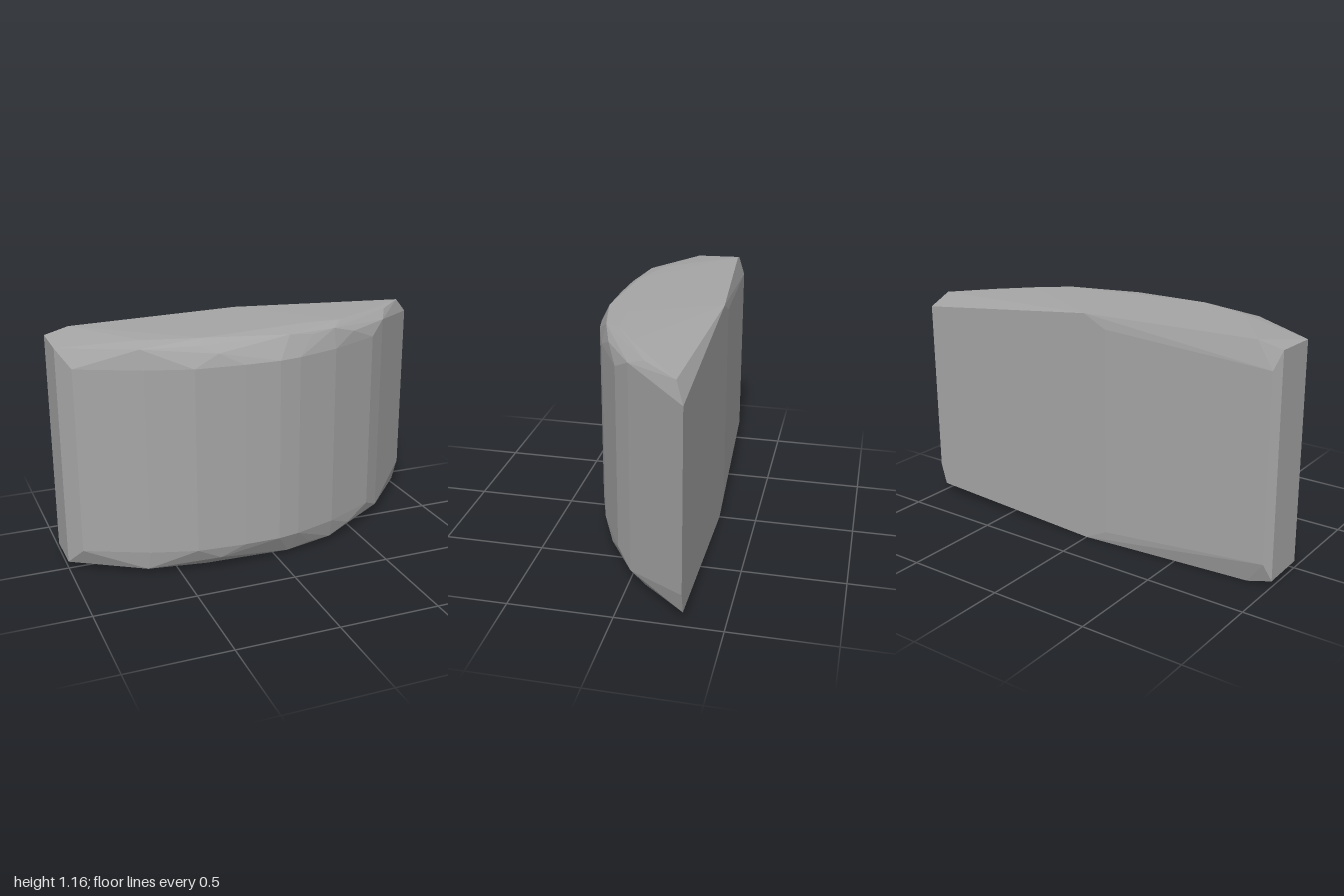
import * as THREE from 'three';
import { ConvexGeometry } from 'three/addons/geometries/ConvexGeometry.js';

// Chipped stone block: a half-moon slab built as the hull of its wall, bevel and cap corners.
export function createModel() {
  const group = new THREE.Group();
  group.name = 'stoneBlock';
  const stone = new THREE.MeshStandardMaterial({ color: 0xa6a6a6, flatShading: true });
  stone.name = 'stoneGrey';

  const H = 1.16;
  const points = [];
  const add = (x, y, z) => points.push(new THREE.Vector3(x, y, z));

  // Curved front wall, running from the -x end round to the +x tip
  const wall = [[-0.94, 0.08], [-0.64, 0.22], [-0.42, 0.287], [-0.18, 0.305],
    [0, 0.305], [0.11, 0.285], [0.33, 0.215], [0.6, 0.08]];
  wall.forEach(([x, z]) => { add(x, 1.04, z); add(x, 0.12, z); });
  add(0.7, 1.1, -0.005);
  add(0.7, 0.06, -0.005);

  // Chipped bevel and cap corners, repeated at top and bottom: [x, z, depth below the cap]
  const bevel = [[-0.65, 0.2, 0.025], [-0.38, 0.24, 0.025], [0.07, 0.245, 0.015],
    [0.2, 0.225, 0.03], [0.33, 0.19, 0.022], [0.75, -0.09, 0.025],
    [-0.3, 0.28, 0.06], [0.46, 0.145, 0.06],
    [-0.62, 0.12, 0.004], [-0.35, 0.2, 0], [0.2, 0.12, 0], [0.4, 0.11, 0.004], [0.56, 0.01, 0.01]];
  bevel.forEach(([x, z, d]) => { add(x, H - d, z); add(x, d, z); });

  // Flat -x end and the bent back wall
  [[-1, 0, 0.035], [-1, -0.23, 0.03], [-0.97, -0.265, 0.12],
    [-0.88, -0.24, 0], [-0.12, -0.31, 0.06], [0, -0.31, 0]]
    .forEach(([x, z, d]) => { add(x, H - d, z); add(x, d, z); });

  // Sharp +x tip, chipped differently above and below
  add(0.92, 1.13, -0.265);
  add(1, 1.05, -0.31);
  add(1, 0.16, -0.31);
  add(0.97, 0.052, -0.31);
  add(0.87, 0.026, -0.25);

  const block = new THREE.Mesh(new ConvexGeometry(points), stone);
  block.name = 'stone';
  group.add(block);
  return group;
}
